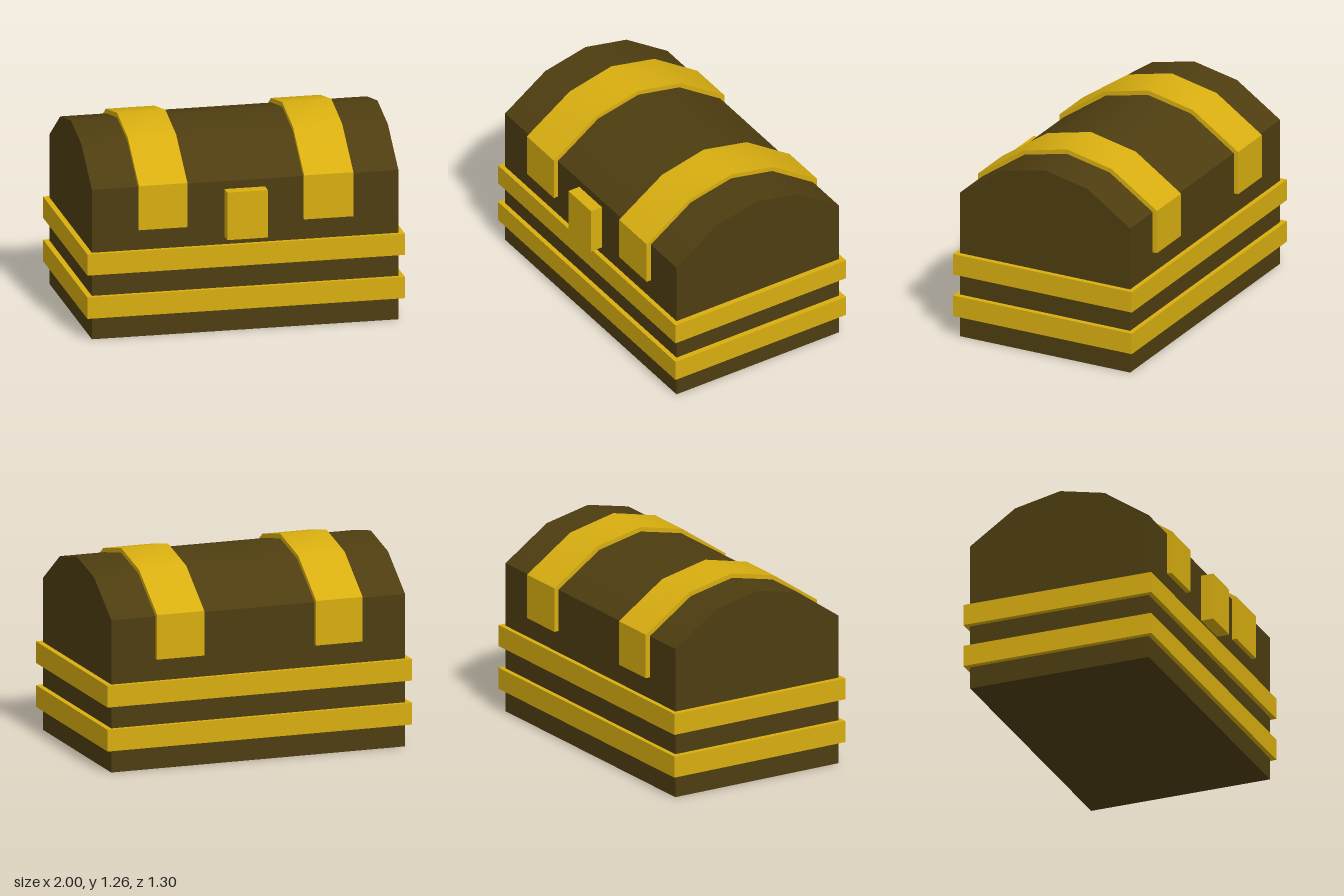
import * as THREE from 'three';
import { toCreasedNormals } from 'three/addons/utils/BufferGeometryUtils.js';

const wood = new THREE.MeshStandardMaterial({ color: 0x4e3d10 });
const gold = new THREE.MeshStandardMaterial({ color: 0xd8ae10 });

// Arched roof line of the chest as [z, y], front to back
const ROOF = [[0.57, 0.96], [0.275, 1.165], [-0.02, 1.23], [-0.32, 1.167], [-0.62, 0.963]];

// Extrudes a [z, y] outline from x0 to x1, smooth over the arch, sharp elsewhere
function extrudeAlongX(outline, x0, x1) {
  const shape = new THREE.Shape(outline.map(([z, y]) => new THREE.Vector2(z, y)));
  const geometry = new THREE.ExtrudeGeometry(shape, { depth: x1 - x0, bevelEnabled: false });
  geometry.rotateY(-Math.PI / 2).translate(x1, 0, 0);
  return toCreasedNormals(geometry, THREE.MathUtils.degToRad(40));
}

// Box given by its limits on each axis
function boxBetween([x0, x1], [y0, y1], [z0, z1]) {
  return new THREE.BoxGeometry(x1 - x0, y1 - y0, z1 - z0)
    .translate((x0 + x1) / 2, (y0 + y1) / 2, (z0 + z1) / 2);
}

export function createModel() {
  const chest = new THREE.Group();
  chest.name = 'treasureChest';

  function add(name, geometry, material) {
    const mesh = new THREE.Mesh(geometry, material);
    mesh.name = name;
    chest.add(mesh);
  }

  // Wooden body with arched lid
  add('body', extrudeAlongX([[0.57, 0], ...ROOF, [-0.62, 0]], -0.965, 0.965), wood);

  // Straps that wrap over the lid and hang down front and back
  const strapOutline = [
    [0.6, 0.69], [0.6, 0.973], [0.285, 1.19], [-0.02, 1.26], [-0.335, 1.192], [-0.65, 0.977], [-0.65, 0.695],
    [-0.62, 0.695], ...[...ROOF].reverse(), [0.57, 0.69],
  ];
  add('leftStrap', extrudeAlongX(strapOutline, 0.365, 0.675), gold);
  add('rightStrap', extrudeAlongX(strapOutline, -0.675, -0.37), gold);

  // Horizontal bands around the body
  add('lowerBand', boxBetween([-1, 1], [0.142, 0.279], [-0.65, 0.6]), gold);
  add('upperBand', boxBetween([-1, 1], [0.42, 0.556], [-0.65, 0.6]), gold);

  // Lock plate on the front
  add('lock', boxBetween([-0.13, 0.125], [0.605, 0.91], [0.55, 0.65]), gold);

  return chest;
}
